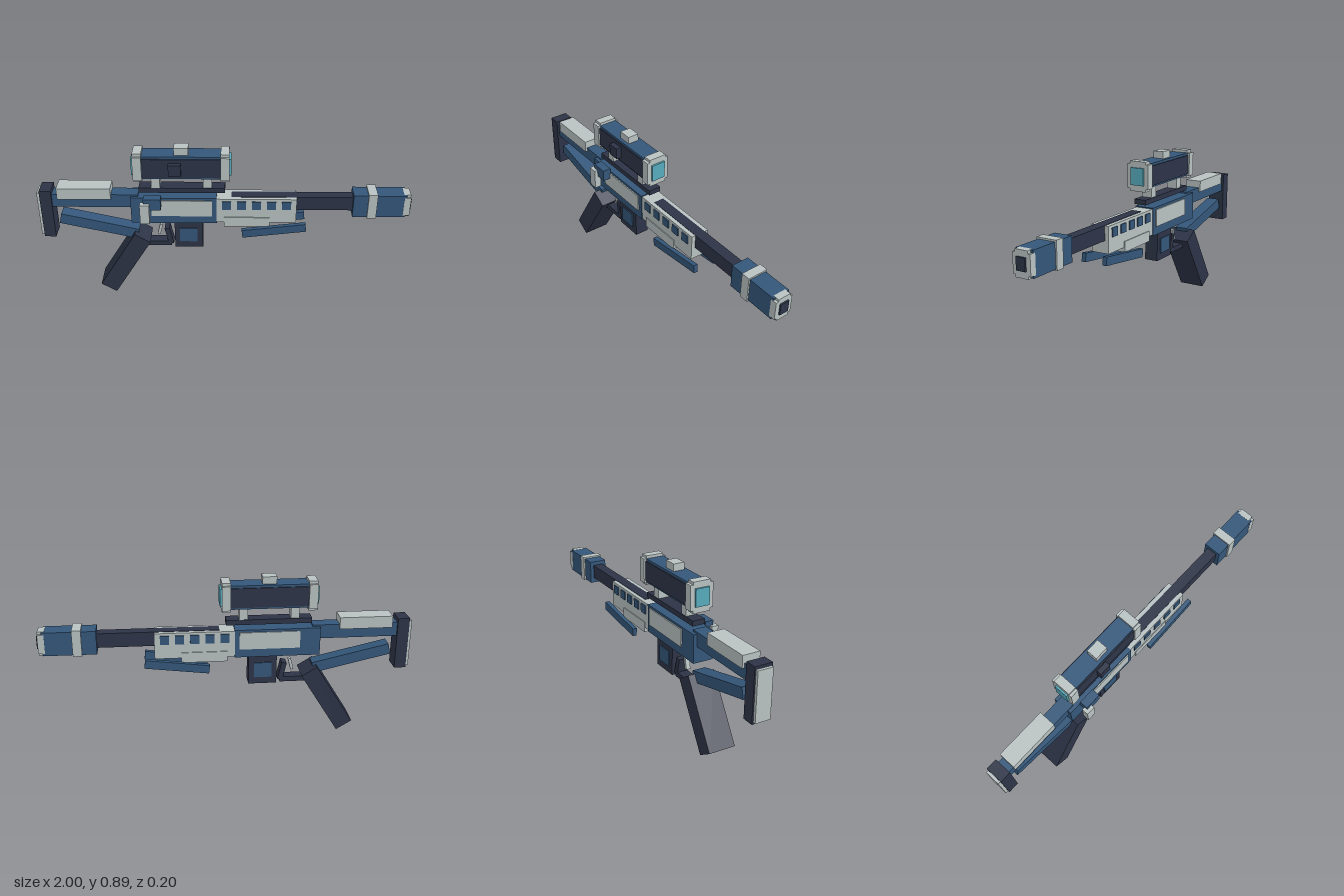
import * as THREE from 'three';

export function createModel() {
  const mat = (name, color) => {
    const m = new THREE.MeshStandardMaterial({ color });
    m.name = name;
    return m;
  };
  const blue = mat('steel blue', 0x34577a);
  const light = mat('pale grey', 0xb9c2c2);
  const dark = mat('dark slate', 0x2d3447);
  const cyan = mat('lens cyan', 0x57abbd);

  const model = new THREE.Group();
  model.name = 'blockyRifle';
  const body = new THREE.Group();
  body.name = 'body';
  body.position.z = -0.022; // side parts make the body sit off centre
  model.add(body);

  // Box from x, y ranges and z range (a single number is a half width)
  const box = (name, material, [x0, x1], [y0, y1], z) => {
    const [z0, z1] = Array.isArray(z) ? z : [-z, z];
    const mesh = new THREE.Mesh(new THREE.BoxGeometry(x1 - x0, y1 - y0, z1 - z0), material);
    mesh.position.set((x0 + x1) / 2, (y0 + y1) / 2, (z0 + z1) / 2);
    mesh.name = name;
    body.add(mesh);
    return mesh;
  };
  // Box given by centre, size and tilt
  const tilted = (name, material, x, y, w, h, z, angle) => {
    const mesh = box(name, material, [x - w / 2, x + w / 2], [y - h / 2, y + h / 2], z);
    mesh.rotation.z = angle;
    return mesh;
  };
  // Thin plate on both sides of a part
  const plates = (name, material, x, y, z) => {
    box(name + 'Left', material, x, y, [z, z + 0.006]);
    box(name + 'Right', material, x, y, [-z - 0.006, -z]);
  };
  // Collar with stepped corners, made as a cross-shaped extrusion
  const collar = (name, [x0, x1], yc, hy, hz, step) => {
    const a = hz - step, b = hy - step;
    const quarter = [[hz, b], [a, b], [a, hy]];
    const pts = [
      ...quarter,
      ...quarter.map(([p, q]) => [-p, q]).reverse(),
      ...quarter.map(([p, q]) => [-p, -q]),
      ...quarter.map(([p, q]) => [p, -q]).reverse(),
    ].map(([p, q]) => new THREE.Vector2(p, q));
    const geo = new THREE.ExtrudeGeometry(new THREE.Shape(pts), { depth: x1 - x0, bevelEnabled: false });
    geo.rotateY(Math.PI / 2);
    const mesh = new THREE.Mesh(geo, light);
    mesh.position.set(x0, yc, 0);
    mesh.name = name;
    body.add(mesh);
  };

  // Stock
  box('buttPad', light, [-1, -0.97], [0.375, 0.637], 0.042);
  box('buttPlate', dark, [-0.985, -0.922], [0.365, 0.652], 0.049);
  box('stockBeam', blue, [-0.922, -0.46], [0.55, 0.627], 0.037);
  box('cheekRest', light, [-0.892, -0.605], [0.603, 0.668], 0.048);
  tilted('stockStrut', blue, -0.68, 0.426, 0.43, 0.06, 0.037, -0.228);

  // Receiver with side panels
  box('receiver', blue, [-0.5, -0.04], [0.463, 0.618], 0.056);
  plates('receiverPanel', light, [-0.39, -0.065], [0.51, 0.605], 0.056);

  // Bolt handle on the left
  box('boltArm', blue, [-0.427, -0.335], [0.572, 0.636], [0.056, 0.103]);
  box('boltKnob', light, [-0.445, -0.395], [0.498, 0.61], [0.085, 0.122]);

  // Grip, trigger and guard
  tilted('grip', dark, -0.549, 0.203, 0.098, 0.396, 0.075, -0.554);
  box('guardBar', dark, [-0.445, -0.29], [0.298, 0.326], 0.03);
  tilted('guardFront', dark, -0.302, 0.36, 0.028, 0.1, 0.03, 0.22);
  tilted('trigger', light, -0.352, 0.393, 0.016, 0.066, 0.012, -0.25);

  // Magazine
  box('magazine', dark, [-0.27, -0.116], [0.297, 0.466], 0.039);
  plates('magazinePanel', blue, [-0.242, -0.146], [0.336, 0.421], 0.039);

  // Handguard with a row of vents
  box('handguard', light, [-0.04, 0.387], [0.468, 0.612], 0.051);
  box('handguardLower', light, [0, 0.245], [0.443, 0.5], 0.056);
  for (let i = 0; i < 5; i++) {
    const x = 0.013 + i * 0.08;
    plates('vent' + (i + 1), blue, [x - 0.024, x + 0.024], [0.55, 0.598], 0.051);
  }
  for (const s of [1, -1]) {
    const strip = tilted('foregripStrip', blue, 0.269, 0.427, 0.346, 0.046, 0.012, 0.122);
    strip.position.z = s * 0.063;
  }

  // Barrel and muzzle brake
  box('barrel', dark, [0.04, 0.7], [0.535, 0.614], 0.029);
  box('muzzleBrake', blue, [0.688, 0.97], [0.506, 0.636], 0.049);
  box('brakeRing', light, [0.766, 0.814], [0.5, 0.645], 0.057);
  collar('muzzleCap', [0.957, 0.992], 0.571, 0.066, 0.05, 0.014);
  box('bore', dark, [0.98, 1], [0.54, 0.605], 0.026);

  // Scope rail and mounts
  box('rail', dark, [-0.455, 0.005], [0.64, 0.668], 0.035);
  box('rearMount', light, [-0.387, -0.341], [0.665, 0.74], 0.031);
  box('frontMount', light, [-0.111, -0.065], [0.665, 0.74], 0.031);

  // Scope
  box('scopeBody', blue, [-0.44, -0.01], [0.733, 0.863], 0.05);
  plates('scopePanel', dark, [-0.432, -0.018], [0.743, 0.85], 0.05);
  collar('scopeRearCollar', [-0.477, -0.43], 0.797, 0.081, 0.064, 0.015);
  collar('scopeFrontCollar', [-0.018, 0.028], 0.797, 0.081, 0.064, 0.015);
  box('rearLens', cyan, [-0.487, -0.47], [0.75, 0.844], 0.039);
  box('frontLens', cyan, [0.02, 0.038], [0.75, 0.844], 0.039);
  box('topTurret', light, [-0.262, -0.186], [0.85, 0.902], 0.031);
  box('sideTurret', dark, [-0.29, -0.225], [0.766, 0.83], [0.05, 0.084]);

  return model;
}
